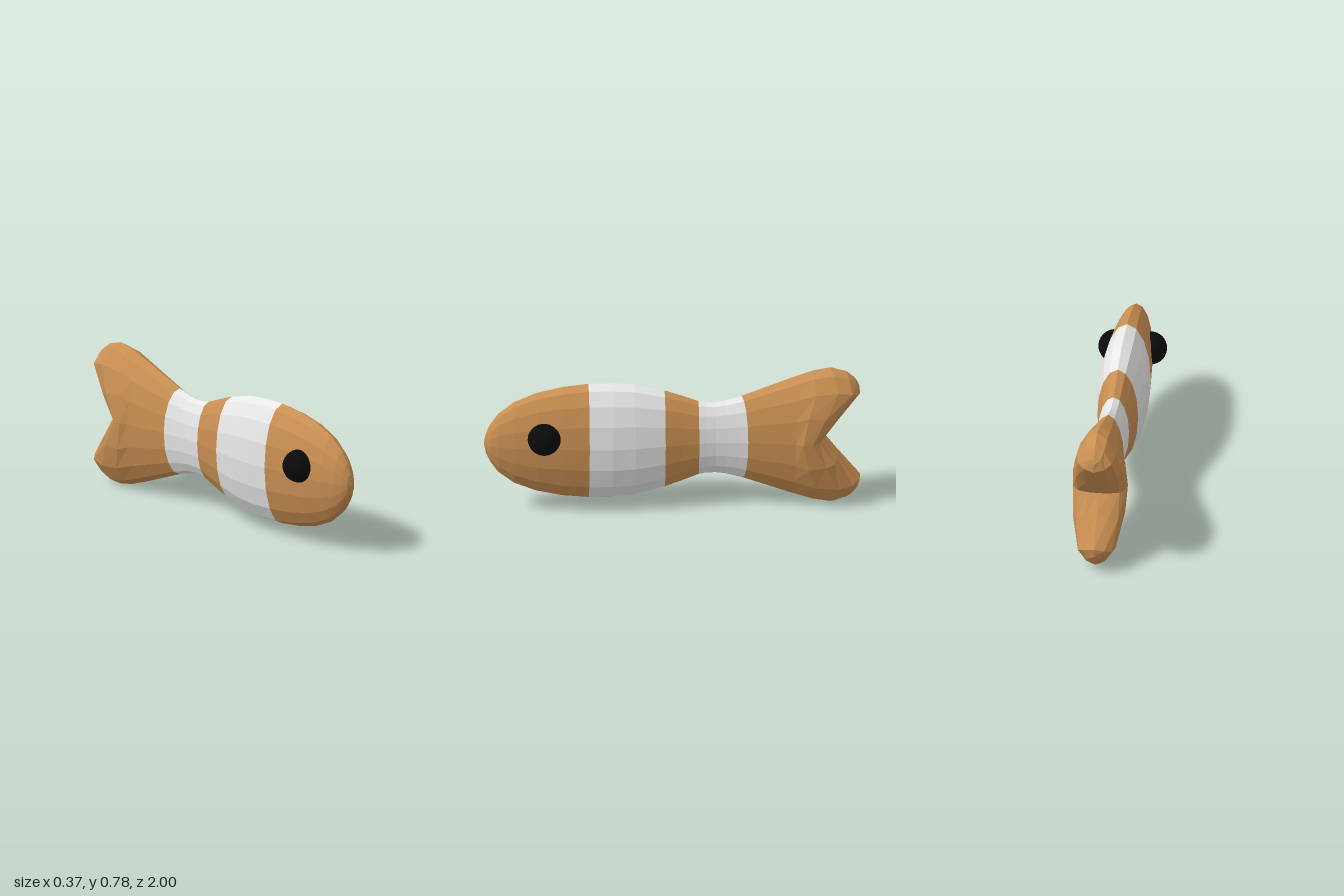
import * as THREE from 'three';

const SIDES = 16, MID_Y = 0.39;

// Oval cross-section; bow pushes the flanks backwards
function oval(z, h, w, bow = 0) {
  return Array.from({ length: SIDES }, (_, j) => {
    const a = (j / SIDES) * Math.PI * 2;
    return [w * Math.sin(a), MID_Y + h * Math.cos(a), z - bow * Math.abs(Math.sin(a))];
  });
}

// Forked cross-section from five (x, height, z) points of one quarter, mirrored in x and y
function fork(q) {
  return Array.from({ length: SIDES }, (_, j) => {
    const half = j <= 8 ? j : SIDES - j;
    const [x, h, z] = q[half <= 4 ? half : 8 - half];
    return [j <= 8 ? x : -x, MID_Y + (half <= 4 ? h : -h), z];
  });
}

// Skin between consecutive cross-sections, ordered from nose to tail
function loft(rings) {
  const pos = rings.flat(2), index = [];
  for (let i = 0; i < rings.length - 1; i++) {
    for (let j = 0; j < SIDES; j++) {
      const k = (j + 1) % SIDES;
      const a = i * SIDES + j, b = i * SIDES + k, c = a + SIDES, d = b + SIDES;
      index.push(a, b, c, b, d, c);
    }
  }
  const g = new THREE.BufferGeometry();
  g.setAttribute('position', new THREE.Float32BufferAttribute(pos, 3));
  g.setIndex(index);
  const flat = g.toNonIndexed();
  flat.computeVertexNormals();
  return flat;
}

export function createModel() {
  const group = new THREE.Group();
  const mat = (name, color, flatShading) => {
    const m = new THREE.MeshStandardMaterial({ color, flatShading });
    m.name = name;
    return m;
  };
  const orange = mat('orange', 0xc98f52, true);
  const white = mat('white', 0xe7e7e7, true);
  const black = mat('black', 0x0a0a0a, false);

  const add = (name, geometry, material) => {
    const mesh = new THREE.Mesh(geometry, material);
    mesh.name = name;
    group.add(mesh);
    return mesh;
  };

  // Shared cross-sections at the stripe edges
  const frontEdge = oval(0.445, 0.33, 0.127);
  const bellyEdge = oval(0.04, 0.28, 0.109);
  const waistEdge = oval(-0.14, 0.213, 0.083);
  const tailEdge = oval(-0.37, 0.237, 0.088, 0.03);

  add('head', loft([
    oval(1, 0.002, 0.001), oval(0.99, 0.055, 0.025), oval(0.965, 0.11, 0.045),
    oval(0.925, 0.168, 0.064), oval(0.84, 0.235, 0.085), oval(0.72, 0.285, 0.104),
    oval(0.58, 0.316, 0.117), frontEdge,
  ]), orange);

  add('bellyStripe', loft([
    frontEdge, oval(0.32, 0.33, 0.135), oval(0.2, 0.32, 0.13), bellyEdge,
  ]), white);

  add('waist', loft([bellyEdge, oval(-0.05, 0.248, 0.094), waistEdge]), orange);

  add('waistStripe', loft([
    waistEdge, oval(-0.18, 0.206, 0.079), oval(-0.23, 0.205, 0.076),
    oval(-0.28, 0.212, 0.078, 0.01), oval(-0.325, 0.224, 0.082, 0.02), tailEdge,
  ]), white);

  // Tail swells, then folds inwards between two rounded lobes
  add('tail', loft([
    tailEdge,
    oval(-0.5, 0.285, 0.108, 0.03),
    oval(-0.62, 0.33, 0.127, 0.03),
    fork([[0, 0.374, -0.75], [0.055, 0.347, -0.755], [0.103, 0.27, -0.76], [0.134, 0.15, -0.72], [0.145, 0, -0.69]]),
    fork([[0, 0.39, -0.84], [0.054, 0.362, -0.86], [0.103, 0.28, -0.88], [0.134, 0.14, -0.81], [0.143, 0, -0.74]]),
    fork([[0, 0.366, -0.925], [0.048, 0.335, -0.94], [0.09, 0.265, -0.955], [0.112, 0.125, -0.86], [0.112, 0, -0.78]]),
    fork([[0, 0.328, -0.97], [0.032, 0.3, -0.98], [0.055, 0.248, -0.985], [0.062, 0.105, -0.875], [0.06, 0, -0.796]]),
    fork([[0, 0.305, -0.985], [0, 0.28, -0.995], [0, 0.235, -1], [0, 0.09, -0.875], [0, 0, -0.8]]),
  ]), orange);

  // Round bulging eyes
  for (const [name, side] of [['leftEye', 1], ['rightEye', -1]]) {
    add(name, new THREE.SphereGeometry(0.088, 32, 20), black).position.set(side * 0.095, 0.447, 0.685);
  }
  return group;
}
